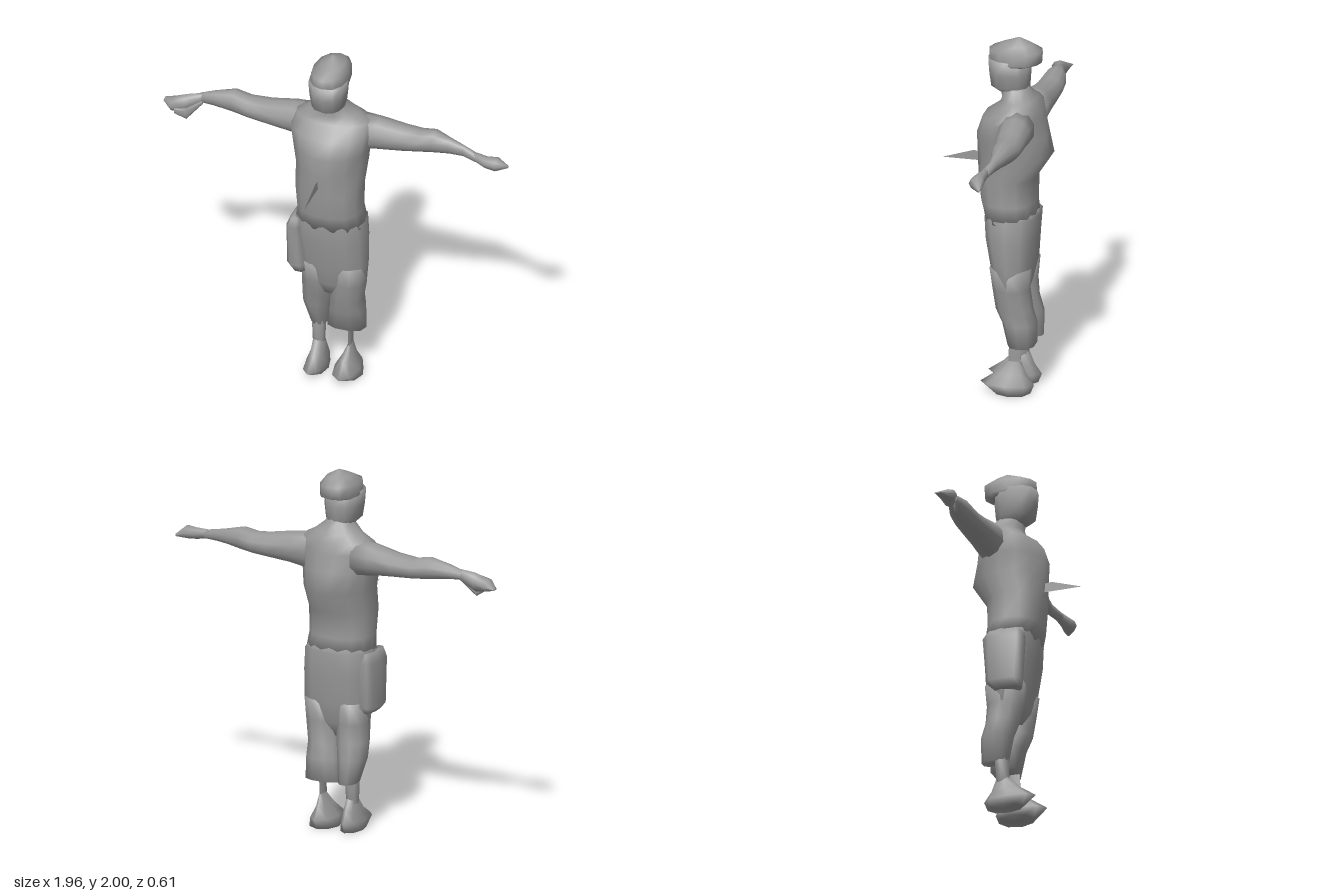
import * as THREE from 'three';

const cloth = new THREE.MeshStandardMaterial({ color: 0x999999, side: THREE.DoubleSide });
cloth.name = 'plain grey';

// Skin through rings [position, a0, a1, b0, b1, power]; axis 'y': a = x, b = z; axis 'x': a = y, b = z
function loft(name, axis, rings, sides = 12) {
  const pos = [], index = [];
  const flip = (axis === 'x') !== (rings[rings.length - 1][0] < rings[0][0]);
  const put = (p, a, b) => (axis === 'y' ? pos.push(a, p, b) : pos.push(p, a, b));
  const tri = (a, b, c) => (flip ? index.push(a, c, b) : index.push(a, b, c));
  const bend = (v, k) => Math.sign(v) * Math.abs(v) ** (2 / k);
  for (const [p, a0, a1, b0, b1, k = 2] of rings) {
    for (let j = 0; j < sides; j++) {
      const t = (j / sides) * Math.PI * 2;
      put(p, (a0 + a1) / 2 + bend(Math.cos(t), k) * (a1 - a0) / 2,
        (b0 + b1) / 2 + bend(Math.sin(t), k) * (b1 - b0) / 2);
    }
  }
  for (let i = 0; i < rings.length - 1; i++) {
    for (let j = 0; j < sides; j++) {
      const n = (j + 1) % sides, r = i * sides, s = r + sides;
      tri(r + j, s + j, r + n);
      tri(s + j, s + n, r + n);
    }
  }
  // End caps
  [0, rings.length - 1].forEach((i) => {
    const [p, a0, a1, b0, b1] = rings[i], c = pos.length / 3;
    put(p, (a0 + a1) / 2, (b0 + b1) / 2);
    for (let j = 0; j < sides; j++) {
      const m = i * sides + j, n = i * sides + (j + 1) % sides;
      if (i) tri(c, n, m); else tri(c, m, n);
    }
  });
  const geo = new THREE.BufferGeometry();
  geo.setAttribute('position', new THREE.Float32BufferAttribute(pos, 3));
  geo.setIndex(index);
  geo.computeVertexNormals();
  const mesh = new THREE.Mesh(geo, cloth);
  mesh.name = name;
  return mesh;
}

// Thin sheet from an outline drawn in (z, y) at a given x
function sheet(name, x, outline) {
  const geo = new THREE.ShapeGeometry(new THREE.Shape(outline.map(([z, y]) => new THREE.Vector2(-z, y))));
  geo.rotateY(Math.PI / 2);
  geo.translate(x, 0, 0);
  const mesh = new THREE.Mesh(geo, cloth);
  mesh.name = name;
  return mesh;
}

export function createModel() {
  const model = new THREE.Group();
  model.name = 'figure';

  // Shirt, from hem to collar
  model.add(loft('torso', 'y', [
    [0.98, -0.20, 0.19, -0.225, 0.06, 2.3],
    [1.08, -0.185, 0.175, -0.215, 0.085, 2.3],
    [1.22, -0.195, 0.18, -0.22, 0.10, 2.2],
    [1.35, -0.205, 0.19, -0.305, 0.108, 1.9],
    [1.46, -0.215, 0.205, -0.28, 0.11, 2],
    [1.56, -0.235, 0.22, -0.255, 0.075, 2.1],
    [1.62, -0.22, 0.205, -0.24, -0.01, 2.1],
    [1.66, -0.15, 0.13, -0.215, -0.025],
    [1.71, -0.085, 0.07, -0.18, -0.02],
    [1.76, -0.08, 0.06, -0.16, -0.02],
  ], 14));

  // Head and cap overhanging the nape
  model.add(loft('head', 'y', [
    [1.69, -0.07, 0.045, -0.15, -0.01],
    [1.725, -0.105, 0.075, -0.175, 0.04, 2.3],
    [1.80, -0.115, 0.083, -0.18, 0.05, 2.4],
    [1.88, -0.12, 0.09, -0.175, 0.055, 2.4],
  ]));
  model.add(loft('cap', 'y', [
    [1.85, -0.105, 0.08, -0.20, 0.02],
    [1.865, -0.12, 0.09, -0.24, 0.05, 2.2],
    [1.93, -0.112, 0.085, -0.245, 0.05, 2.2],
    [1.965, -0.07, 0.06, -0.195, -0.02],
    [2.0, -0.015, -0.005, -0.12, -0.11],
  ]));

  // Arms, each ending in a flattened hand
  model.add(loft('rightArm', 'x', [
    [-0.14, 1.43, 1.64, -0.24, -0.05],
    [-0.24, 1.45, 1.63, -0.24, -0.06],
    [-0.38, 1.465, 1.60, -0.237, -0.075],
    [-0.50, 1.475, 1.59, -0.235, -0.09],
    [-0.59, 1.485, 1.61, -0.23, -0.105],
    [-0.70, 1.50, 1.585, -0.195, -0.12],
    [-0.78, 1.505, 1.56, -0.17, -0.13],
  ], 10));
  model.add(loft('rightHand', 'x', [
    [-0.76, 1.505, 1.565, -0.17, -0.13],
    [-0.85, 1.445, 1.55, -0.165, -0.09],
    [-0.92, 1.45, 1.52, -0.165, -0.065],
    [-0.98, 1.475, 1.485, -0.17, -0.13],
  ], 8));
  model.add(loft('rightThumb', 'x', [
    [-0.76, 1.50, 1.53, -0.15, -0.13],
    [-0.84, 1.41, 1.48, -0.11, -0.09],
    [-0.90, 1.45, 1.48, -0.08, -0.07],
  ], 6));
  model.add(loft('leftArm', 'x', [
    [0.14, 1.43, 1.64, -0.24, -0.05],
    [0.24, 1.45, 1.63, -0.24, -0.06],
    [0.38, 1.465, 1.605, -0.24, -0.075],
    [0.47, 1.475, 1.595, -0.24, -0.09],
    [0.55, 1.485, 1.61, -0.23, -0.10],
    [0.64, 1.495, 1.585, -0.195, -0.12],
    [0.72, 1.50, 1.565, -0.17, -0.125],
    [0.80, 1.495, 1.545, -0.15, -0.10],
  ], 10));
  model.add(loft('leftHand', 'x', [
    [0.78, 1.50, 1.55, -0.15, -0.11],
    [0.86, 1.48, 1.545, -0.145, -0.08],
    [0.92, 1.475, 1.55, -0.155, -0.07],
    [0.975, 1.485, 1.50, -0.145, -0.13],
  ], 8));

  // Baggy trousers: hips, then a leg on each side
  model.add(loft('hips', 'y', [
    [1.03, -0.18, 0.17, -0.215, 0.06, 2.3],
    [1.0, -0.205, 0.19, -0.235, 0.065, 2.4],
    [0.88, -0.205, 0.20, -0.225, 0.055, 2.4],
    [0.72, -0.19, 0.198, -0.215, 0.025, 2.4],
    [0.60, -0.175, 0.185, -0.185, 0.0, 2.3],
    [0.52, -0.13, 0.14, -0.15, -0.04],
  ]));
  model.add(loft('leftTrouserLeg', 'y', [
    [0.72, 0.0, 0.195, -0.21, 0.02],
    [0.60, -0.01, 0.187, -0.20, 0.005],
    [0.48, -0.02, 0.165, -0.21, -0.01, 2.2],
    [0.40, -0.035, 0.165, -0.23, -0.045, 2.2],
    [0.275, -0.055, 0.167, -0.225, -0.075, 2.5],
  ], 10));
  model.add(loft('rightTrouserLeg', 'y', [
    [0.72, -0.185, 0.0, -0.21, 0.02],
    [0.60, -0.175, 0.0, -0.20, 0.005],
    [0.50, -0.182, -0.005, -0.205, -0.02],
    [0.41, -0.185, -0.025, -0.228, -0.05],
    [0.275, -0.14, -0.045, -0.23, -0.08, 2.4],
  ], 10));

  // Pouch hanging on the right hip
  model.add(loft('hipPouch', 'y', [
    [1.0, -0.21, -0.15, -0.16, 0.04, 3],
    [0.95, -0.235, -0.14, -0.18, 0.05, 3],
    [0.70, -0.237, -0.125, -0.17, 0.03, 3],
    [0.66, -0.20, -0.125, -0.13, 0.02, 3],
  ], 10));

  // Bare shins and splayed feet
  model.add(loft('leftShin', 'y', [
    [0.32, 0.083, 0.095, -0.16, -0.08],
    [0.15, 0.08, 0.098, -0.15, -0.075],
  ], 6));
  model.add(loft('rightShin', 'y', [
    [0.32, -0.135, -0.05, -0.16, -0.08],
    [0.15, -0.125, -0.055, -0.15, -0.075],
  ], 8));
  model.add(loft('leftFoot', 'y', [
    [0.18, 0.08, 0.10, -0.15, -0.08],
    [0.11, 0.05, 0.12, -0.18, -0.01],
    [0.05, 0.015, 0.155, -0.22, 0.075],
    [0.0, 0.0, 0.165, -0.20, 0.0],
  ], 8));
  model.add(loft('rightFoot', 'y', [
    [0.18, -0.12, -0.06, -0.15, -0.08],
    [0.11, -0.125, -0.045, -0.18, -0.01],
    [0.05, -0.145, -0.035, -0.22, 0.075],
    [0.0, -0.145, -0.03, -0.20, 0.0],
  ], 8));

  // Thin spike at the chest
  model.add(sheet('chestSpike', -0.02, [[0.08, 1.27], [0.31, 1.27], [0.14, 1.325], [0.08, 1.32]]));
  return model;
}
